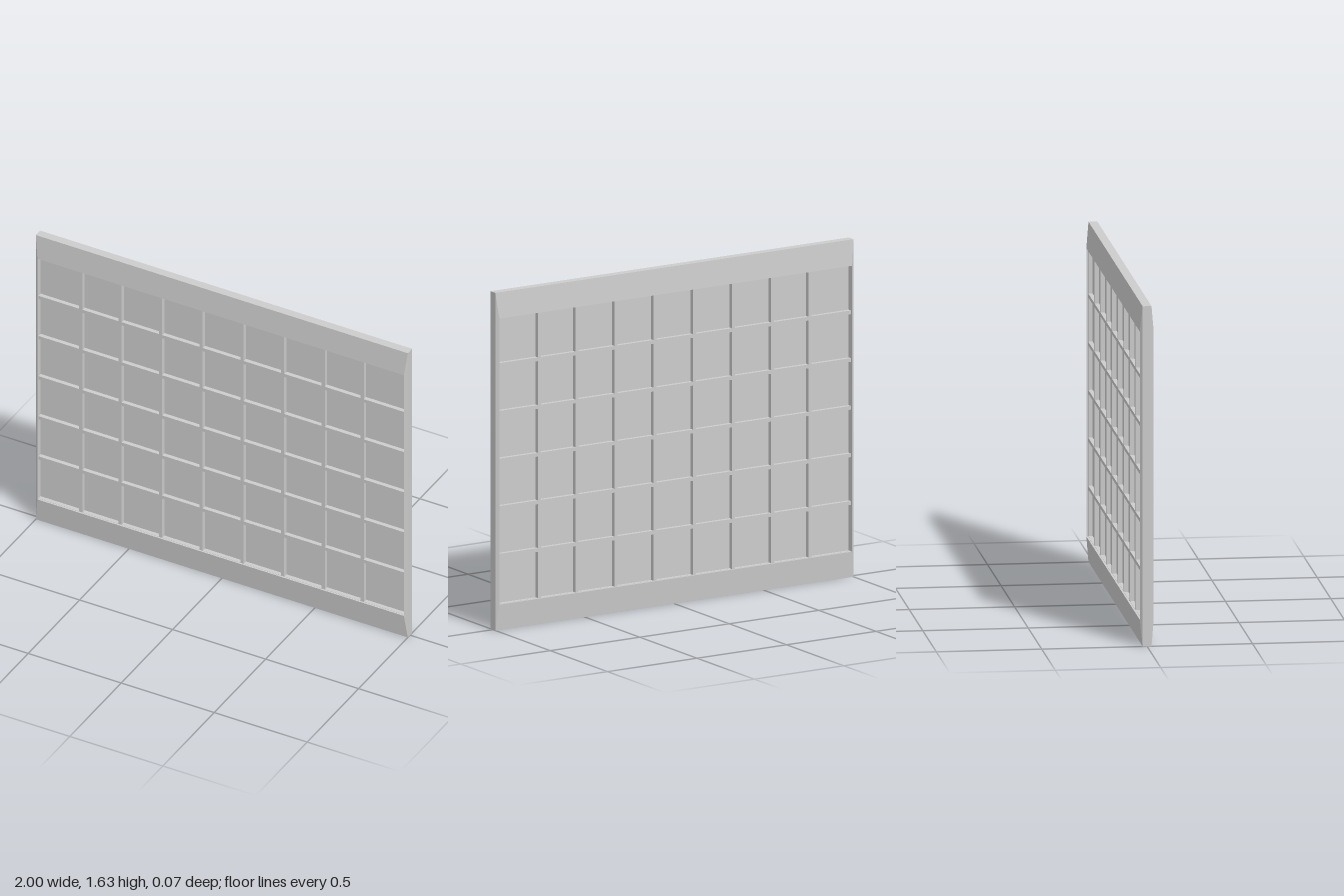
import * as THREE from 'three';

const X_OUT = 1, X_IN = 0.985, Y_TOP = 1.634, Y_LOW = 0.126, Y_HIGH = 1.51;
const EDGE_Z = 0.021, FACE_Z = 0.033, BAR_Z = 0.024, BAR = 0.018;

const rect = (x0, y0, x1, y1) => [[x0, y0], [x1, y0], [x1, y1], [x0, y1]];

// Four-sided frame whose faces rise from a thin outer edge to a thick opening
function frameGeometry() {
  const outer = rect(-X_OUT, 0, X_OUT, Y_TOP);
  const inner = rect(-X_IN, Y_LOW, X_IN, Y_HIGH);
  const rings = [[outer, -EDGE_Z], [outer, EDGE_Z], [inner, FACE_Z], [inner, -FACE_Z]];
  const pos = [];
  rings.forEach(([ringA, za], r) => {
    const [ringB, zb] = rings[(r + 1) % 4];
    for (let i = 0; i < 4; i++) {
      const j = (i + 1) % 4;
      const a = [...ringA[i], za], b = [...ringA[j], za];
      const c = [...ringB[j], zb], d = [...ringB[i], zb];
      pos.push(...a, ...b, ...c, ...a, ...c, ...d);
    }
  });
  const geo = new THREE.BufferGeometry();
  geo.setAttribute('position', new THREE.Float32BufferAttribute(pos, 3));
  geo.computeVertexNormals();
  return geo;
}

// Openings between consecutive bar centres
function spans(low, high, bars) {
  const starts = [low, ...bars.map((b) => b + BAR / 2)];
  const ends = [...bars.map((b) => b - BAR / 2), high];
  return starts.map((s, i) => [s, ends[i]]);
}

// Crossing bars as one plate with a hole for every pane
function latticeGeometry() {
  const toPoints = (r) => r.map(([x, y]) => new THREE.Vector2(x, y));
  const half = [0.11, 0.328, 0.546, 0.756];
  const columns = spans(-X_IN + 0.001, X_IN - 0.001, [...half.map((x) => -x).reverse(), ...half]);
  const rows = spans(Y_LOW + 0.001, Y_HIGH - 0.001, [0.36, 0.591, 0.821, 1.052, 1.283]);
  const shape = new THREE.Shape(toPoints(rect(-X_IN, Y_LOW, X_IN, Y_HIGH)));
  for (const [x0, x1] of columns)
    for (const [y0, y1] of rows)
      shape.holes.push(new THREE.Path(toPoints(rect(x0, y0, x1, y1).reverse())));
  const geo = new THREE.ExtrudeGeometry(shape, { depth: BAR_Z * 2, bevelEnabled: false });
  return geo.translate(0, 0, -BAR_Z);
}

export function createModel() {
  const model = new THREE.Group();
  model.name = 'panedWindow';
  const material = new THREE.MeshStandardMaterial({ color: 0xcccccc, flatShading: true });
  const add = (name, geo) => {
    const mesh = new THREE.Mesh(geo, material);
    mesh.name = name;
    model.add(mesh);
    return mesh;
  };

  add('frame', frameGeometry());
  add('glazingBars', latticeGeometry());
  // Thin sheet filling all the openings
  add('panes', new THREE.BoxGeometry(X_IN * 2, Y_HIGH - Y_LOW, 0.006))
    .position.y = (Y_LOW + Y_HIGH) / 2;
  return model;
}
